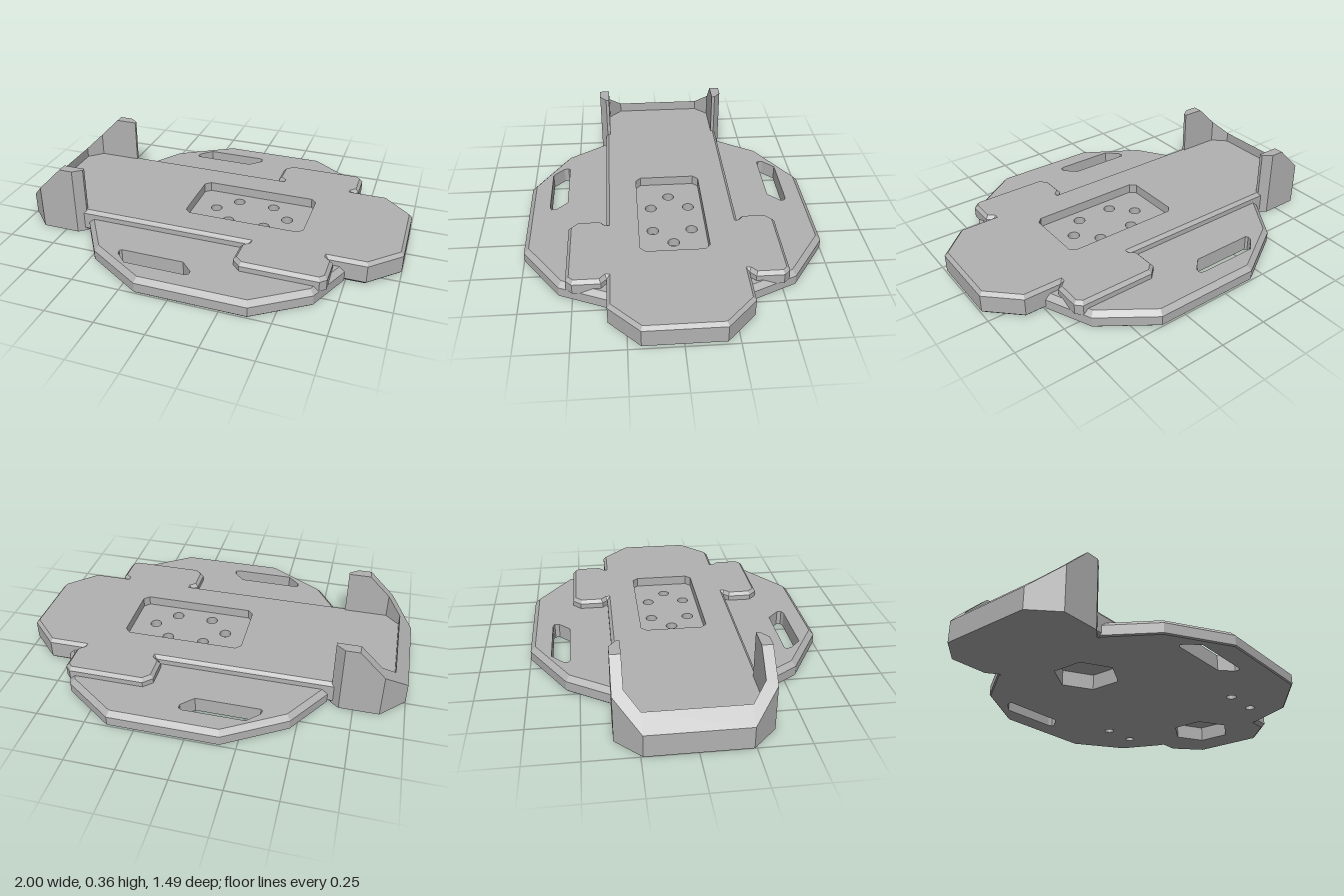
import * as THREE from 'three';

const V = (x, z) => new THREE.Vector2(x, z);
const toPts = (list) => list.map(([x, z]) => V(x, z));
const ccw = (p) => (THREE.ShapeUtils.isClockWise(p) ? p.slice().reverse() : p);
const flipZ = (list, s) => list.map(([x, z]) => [x, z * s]);

// Regular outline (circle or hexagon) around a centre
function ring(cx, cz, r, n, turn = 0) {
  return Array.from({ length: n }, (_, i) => {
    const a = turn + (i / n) * Math.PI * 2;
    return [cx + r * Math.cos(a), cz + r * Math.sin(a)];
  });
}

// Move every edge of a counter-clockwise outline inwards by d
function inset(pts, d) {
  const n = pts.length;
  return pts.map((p, i) => {
    const a = p.clone().sub(pts[(i + n - 1) % n]).normalize();
    const b = pts[(i + 1) % n].clone().sub(p).normalize();
    const k = d / (1 + a.dot(b));
    return V(p.x + k * (-a.y - b.y), p.y + k * (a.x + b.x));
  });
}

// Slab from an outline in x/z. levels: [y or y(x), inset], bottom to top.
// holes: { pts, from: 'top' | 'bottom' | 'through', floor }
function slab(outline, levels, holes = []) {
  const pos = [];
  const base = ccw(toPts(outline));
  const yAt = (y, p) => (typeof y === 'function' ? y(p.x) : y);
  const put = (p, y) => pos.push(p.x, yAt(y, p), p.y);
  const wall = (lo, y0, hi, y1, inward) => {
    for (let i = 0; i < lo.length; i++) {
      const j = (i + 1) % lo.length;
      const [a, b] = inward ? [j, i] : [i, j];
      put(lo[a], y0); put(hi[a], y1); put(hi[b], y1);
      put(lo[a], y0); put(hi[b], y1); put(lo[b], y0);
    }
  };
  const cap = (pts, cuts, y, up) => {
    const all = [...pts, ...cuts.flat()];
    for (const [a, b, c] of THREE.ShapeUtils.triangulateShape(pts.slice(), cuts.map((h) => h.slice()))) {
      const cross = (all[b].x - all[a].x) * (all[c].y - all[a].y) - (all[b].y - all[a].y) * (all[c].x - all[a].x);
      const order = (cross > 0) === up ? [a, c, b] : [a, b, c];
      order.forEach((k) => put(all[k], y));
    }
  };
  const rings = levels.map(([, d]) => inset(base, d));
  for (let i = 0; i + 1 < levels.length; i++) wall(rings[i], levels[i][0], rings[i + 1], levels[i + 1][0], false);
  const yBottom = levels[0][0];
  const yTop = levels[levels.length - 1][0];
  const cuts = holes.map((h) => ({ ...h, pts: ccw(toPts(h.pts)) }));
  cap(rings[0], cuts.filter((h) => h.from !== 'top').map((h) => h.pts), yBottom, false);
  cap(rings[rings.length - 1], cuts.filter((h) => h.from !== 'bottom').map((h) => h.pts), yTop, true);
  for (const h of cuts) {
    const lo = h.from === 'top' ? h.floor : yBottom;
    const hi = h.from === 'bottom' ? h.floor : yTop;
    wall(h.pts, lo, h.pts, hi, true);
    if (h.from !== 'through') cap(h.pts, (h.inner || []).map((p) => ccw(toPts(p))), h.floor, h.from === 'top');
    // Blind holes sunk into the floor of a pocket
    for (const p of h.inner || []) {
      const q = ccw(toPts(p));
      wall(q, h.innerFloor, q, h.floor, true);
      cap(q, [], h.innerFloor, true);
    }
  }
  const g = new THREE.BufferGeometry();
  g.setAttribute('position', new THREE.Float32BufferAttribute(pos, 3));
  g.computeVertexNormals();
  return g;
}

export function createModel() {
  const model = new THREE.Group();
  const grey = new THREE.MeshStandardMaterial({ color: 0xb2b2b2 });
  grey.name = 'plainGrey';
  const add = (name, geometry) => {
    const mesh = new THREE.Mesh(geometry, grey);
    mesh.name = name;
    model.add(mesh);
  };

  // Central bar with a screw pocket on top and two hexagonal recesses below
  const pocket = [
    [-0.14, -0.145], [-0.113, -0.172], [0.467, -0.172], [0.494, -0.145],
    [0.494, 0.145], [0.467, 0.172], [-0.113, 0.172], [-0.14, 0.145],
  ];
  const screws = [[-0.02, 0], [0.375, 0], [0.08, 0.1], [0.08, -0.1], [0.275, 0.1], [0.275, -0.1]];
  const bar = [
    [-0.97, -0.24], [-0.88, -0.335], [0.85, -0.335], [1, -0.19],
    [1, 0.19], [0.85, 0.335], [-0.88, 0.335], [-0.97, 0.24],
  ];
  add('centralBar', slab(bar, [[0, 0.018], [0.018, 0], [0.107, 0], [0.125, 0.016]], [
    { pts: pocket, from: 'top', floor: 0.075, inner: screws.map(([x, z]) => ring(x, z, 0.03, 20)), innerFloor: 0.03 },
    { pts: ring(0.68, 0, 0.165, 6, Math.PI / 6), from: 'bottom', floor: 0.08 },
    { pts: ring(-0.34, 0, 0.165, 6, Math.PI / 6), from: 'bottom', floor: 0.08 },
  ]));

  // Bumper top: slopes up at 45 degrees, then runs level
  const bumperTop = (x) => Math.min(0.36, x + 1.11);

  for (const s of [1, -1]) {
    const side = s > 0 ? 'left' : 'right';
    const label = s > 0 ? 'Front' : 'Back';

    // Side wing with a through slot and two screw holes underneath
    const wing = [[-0.62, 0.28], [-0.62, 0.335], [-0.47, 0.565], [-0.17, 0.747],
      [0.385, 0.747], [0.645, 0.565], [0.745, 0.335], [0.745, 0.28]];
    const slot = [[-0.27, 0.637], [0.04, 0.637], [0.06, 0.628], [0.06, 0.605],
      [0, 0.545], [-0.325, 0.545], [-0.335, 0.555], [-0.33, 0.578]];
    add('wing' + label, slab(flipZ(wing, s), [[0, 0.006], [0.006, 0], [0.055, 0], [0.08, 0.025]], [
      { pts: flipZ(slot, s), from: 'through' },
      { pts: ring(0.335, 0.42 * s, 0.026, 16), from: 'bottom', floor: 0.05 },
      { pts: ring(0.53, 0.42 * s, 0.026, 16), from: 'bottom', floor: 0.05 },
    ]));

    // Raised tab joining the bar
    const tab = [[0.262, 0.28], [0.262, 0.335], [0.232, 0.362], [0.232, 0.485], [0.275, 0.527],
      [0.66, 0.527], [0.69, 0.497], [0.69, 0.362], [0.66, 0.335], [0.66, 0.28]];
    add('tab' + label, slab(flipZ(tab, s), [[0.055, 0], [0.107, 0], [0.125, 0.016]]));

    // Upright end of the bumper
    const upright = [[-0.75, 0.36], [-0.68, 0.36], [-0.635, 0.325], [-0.635, 0.308], [-0.75, 0.308]];
    add('bumperUpright' + label, slab(flipZ(upright, s), [[0, 0], [0.36, 0]]));
  }

  // Sloping bumper wall wrapping the end of the bar
  const wrap = [
    [-0.75, 0.36], [-0.88, 0.36], [-1, 0.24], [-1, -0.24], [-0.88, -0.36], [-0.75, -0.36],
    [-0.75, -0.308], [-0.86, -0.308], [-0.93, -0.24], [-0.93, 0.24], [-0.86, 0.308], [-0.75, 0.308],
  ];
  add('bumperWall', slab(wrap, [[0, 0], [bumperTop, 0]]));

  return model;
}
